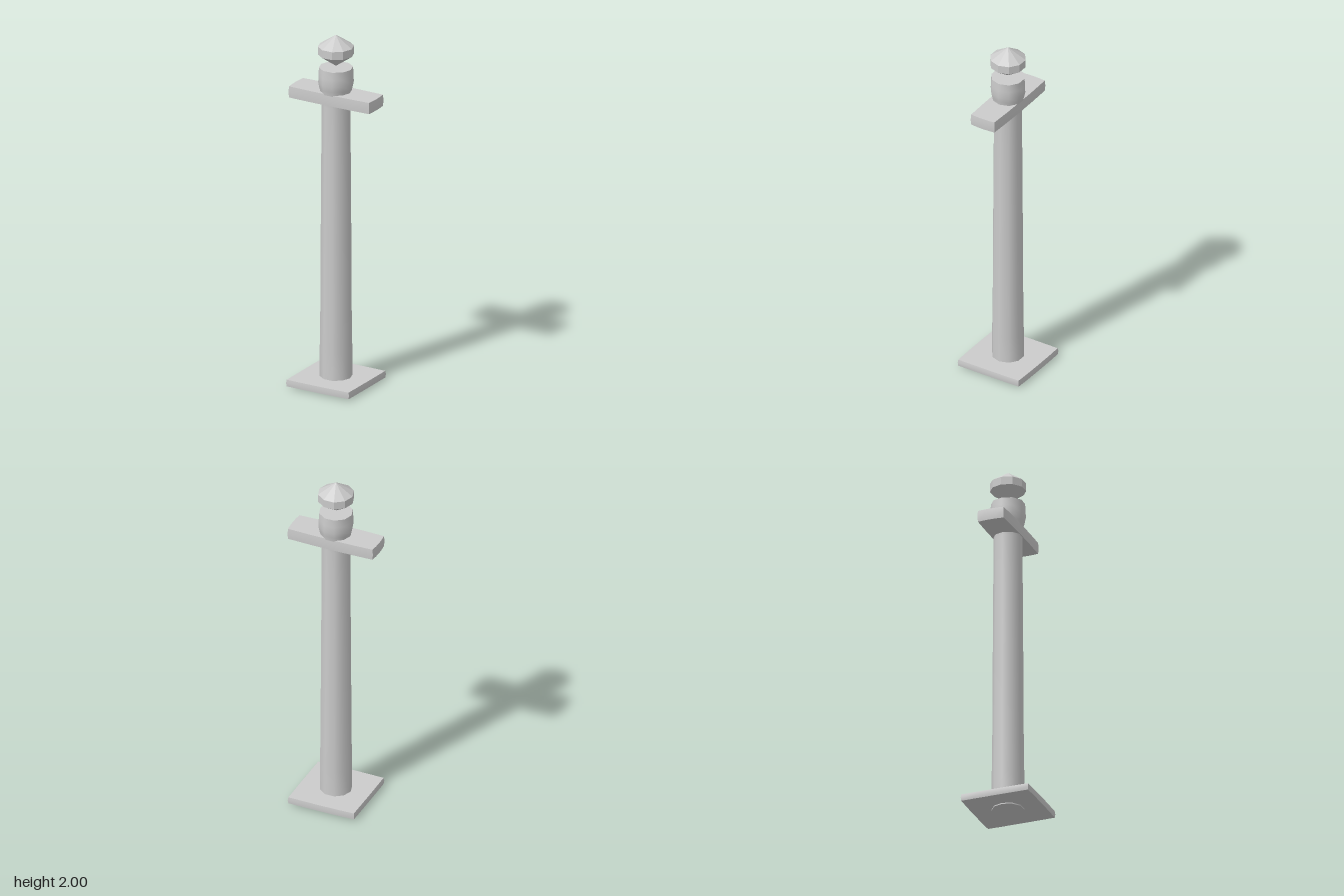
import * as THREE from 'three';
import { toCreasedNormals } from 'three/addons/utils/BufferGeometryUtils.js';

const SIDES = 10;

export function createModel() {
  const group = new THREE.Group();
  const smooth = new THREE.MeshStandardMaterial({ color: 0xcccccc });
  const flat = new THREE.MeshStandardMaterial({ color: 0xcccccc, flatShading: true });

  const add = (name, geometry, material) => {
    const mesh = new THREE.Mesh(geometry, material);
    mesh.name = name;
    group.add(mesh);
    return mesh;
  };

  // Ten-sided turned part with a corner on the x axis
  const turned = (profile) =>
    new THREE.LatheGeometry(profile.map(([r, y]) => new THREE.Vector2(r, y)), SIDES, Math.PI / 2);

  // Slab whose sides swell slightly towards the middle
  const slab = (w, h, d, bulgeX, bulgeZ) => {
    const g = new THREE.BoxGeometry(w, h, d, 4, 2, 4);
    const p = g.attributes.position;
    for (let i = 0; i < p.count; i++) {
      const u = (2 * p.getX(i)) / w, v = (2 * p.getZ(i)) / d, t = (2 * p.getY(i)) / h;
      p.setX(i, p.getX(i) + u * bulgeX * (1 - v * v) + u * 0.003 * (1 - t * t));
      p.setZ(i, p.getZ(i) + v * bulgeZ * (1 - u * u) + v * 0.002 * (1 - t * t));
    }
    return toCreasedNormals(g, 0.6);
  };

  // Square foot plate
  add('basePlate', slab(0.386, 0.038, 0.386, 0.001, 0.003), smooth).position.y = 0.027;

  // Tapered post flowing into the collar at its top
  const post = turned([
    [0, 0], [0.088, 0.002], [0.088, 0.2], [0.085, 0.4], [0.083, 0.8],
    [0.081, 1.1], [0.079, 1.4], [0.079, 1.6], [0.08, 1.66],
    [0.09, 1.7], [0.096, 1.73], [0.095, 1.77], [0.092, 1.815], [0, 1.815],
  ]);
  add('post', toCreasedNormals(post, 0.9), smooth);

  // Crossbar through the neck
  add('crossbar', slab(0.498, 0.064, 0.148, 0.005, 0.005), smooth).position.y = 1.648;

  // Faceted finial, pointed above and below
  add('finial', turned([[0, 1.822], [0.098, 1.89], [0.098, 1.935], [0, 2]]), flat);

  return group;
}
